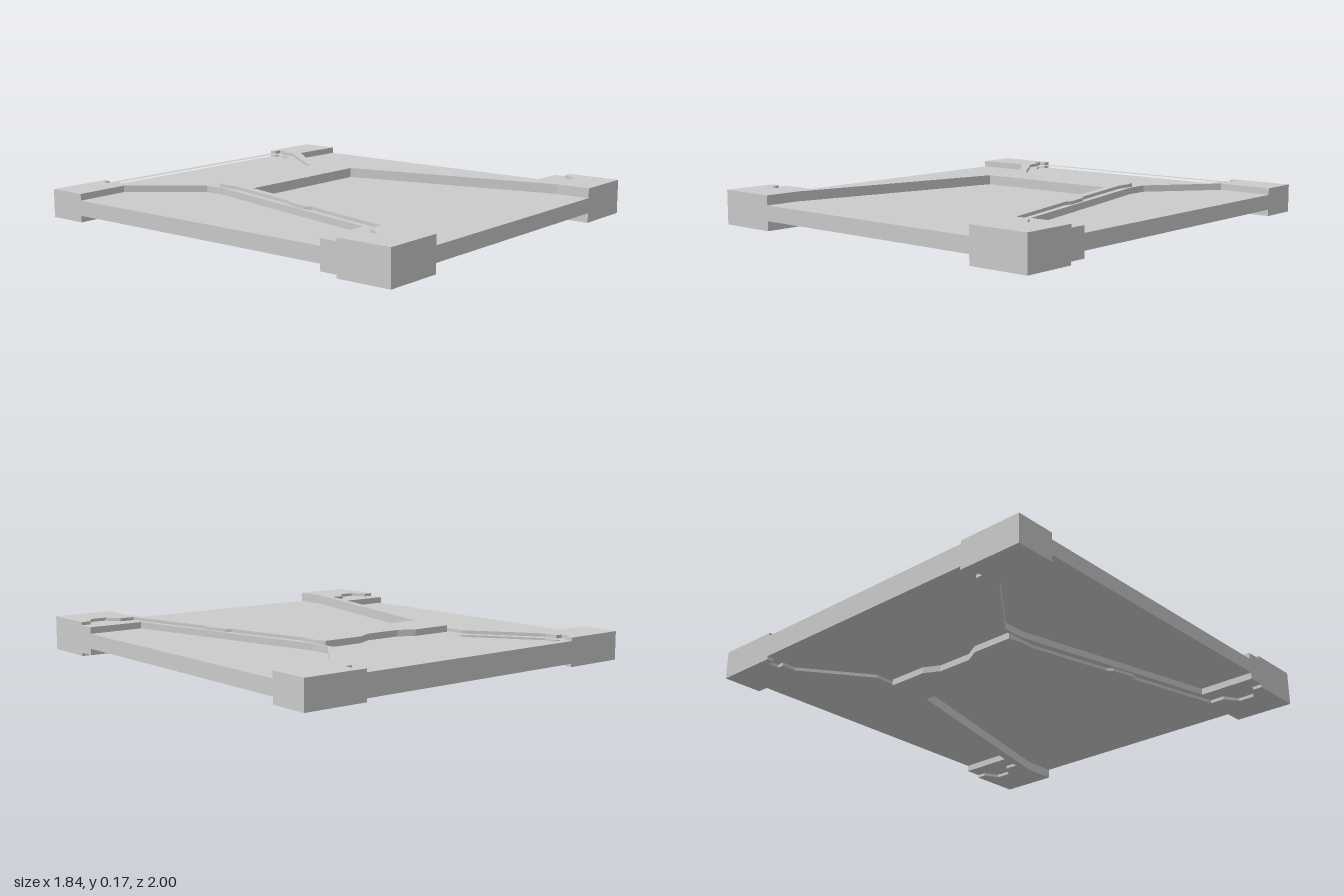
import * as THREE from 'three';

const MID = 0.0825;      // height of the panel's central plane
const SLAB = 0.036;      // half thicknesses of the stepped layers
const FRAME = 0.052;
const ARM = 0.0675;
const TOP = 0.0825;

const material = new THREE.MeshStandardMaterial({ color: 0xcccccc, flatShading: true });

// Outlines are [x, z] points on the left half (+x).
const mirror = pts => pts.map(([x, z]) => [-x, z]).reverse();
const toVectors = pts => pts.map(([x, z]) => new THREE.Vector2(x, -z));

// Upright prism over an outline, between two heights
function prism(name, outline, y0, y1, holes = []) {
  const shape = new THREE.Shape(toVectors(outline));
  holes.forEach(h => shape.holes.push(new THREE.Path(toVectors(h))));
  const geo = new THREE.ExtrudeGeometry(shape, { depth: y1 - y0, bevelEnabled: false });
  geo.rotateX(-Math.PI / 2);
  geo.translate(0, y0, 0);
  const mesh = new THREE.Mesh(geo, material);
  mesh.name = name;
  return mesh;
}

// The same plate on the upper and lower face of the slab
function platePair(name, outline, half, holes) {
  const group = new THREE.Group();
  group.name = name;
  group.add(prism(name + 'Upper', outline, MID + SLAB, MID + half, holes));
  group.add(prism(name + 'Lower', outline, MID - half, MID - SLAB, holes));
  return group;
}

export function createModel() {
  const model = new THREE.Group();
  model.name = 'panel';

  // Seam between back frame and corner arm, with its small square notch
  const armSeam = [
    [0.61, -1], [0.61, -0.965], [0.645, -0.965], [0.645, -0.91],
    [0.61, -0.91], [0.61, -0.84], [0.385, -0.53], [0.385, -0.39],
  ];
  // Outer edge of the raised leg, with its jog and the notched foot
  const legSeam = [
    [0.385, -0.31], [0.485, 0.1], [0.508, 0.125], [0.537, 0.24], [0.525, 0.27],
    [0.638, 0.735], [0.71, 0.735], [0.755, 0.805], [0.835, 0.805], [0.875, 0.735], [0.922, 0.735],
  ];
  // Back edge of the crossbar, with its shallow central dip
  const barSeam = [[0.37, -0.445], [0.165, -0.445], [0.09, -0.405]];

  // Central slab, seen at the bottom of all recesses
  model.add(prism('slab', [[-0.922, 1], [0.922, 1], [0.922, -1], [-0.922, -1]], MID - SLAB, MID + SLAB));

  // Low frame around the back recess
  const frameHalf = [...armSeam, ...barSeam];
  const recess = [[-0.578, -0.96], [0.578, -0.96], [0.578, -0.865], [0.365, -0.563], [-0.365, -0.563], [-0.578, -0.865]];
  model.add(platePair('backFrame', [...frameHalf, ...mirror(frameHalf)], FRAME, [recess]));

  // Back corners with the narrow ledge running along each leg
  const arm = [
    ...armSeam, ...legSeam,
    [0.922, 0.65], [0.645, 0.65], [0.4, -0.39], [0.4, -0.5], [0.65, -0.812], [0.922, -0.803], [0.922, -1],
  ];
  model.add(platePair('leftArm', arm, ARM));
  model.add(platePair('rightArm', mirror(arm), ARM));

  // Raised crossbar, legs and front feet
  const topHalf = [
    ...[...barSeam].reverse(), [0.385, -0.39], ...legSeam,
    [0.922, 1], [0.625, 1], [0.625, 0.83], [0.365, -0.225],
  ];
  model.add(platePair('crossbarAndLegs', [...topHalf, ...mirror(topHalf)], TOP));

  return model;
}
